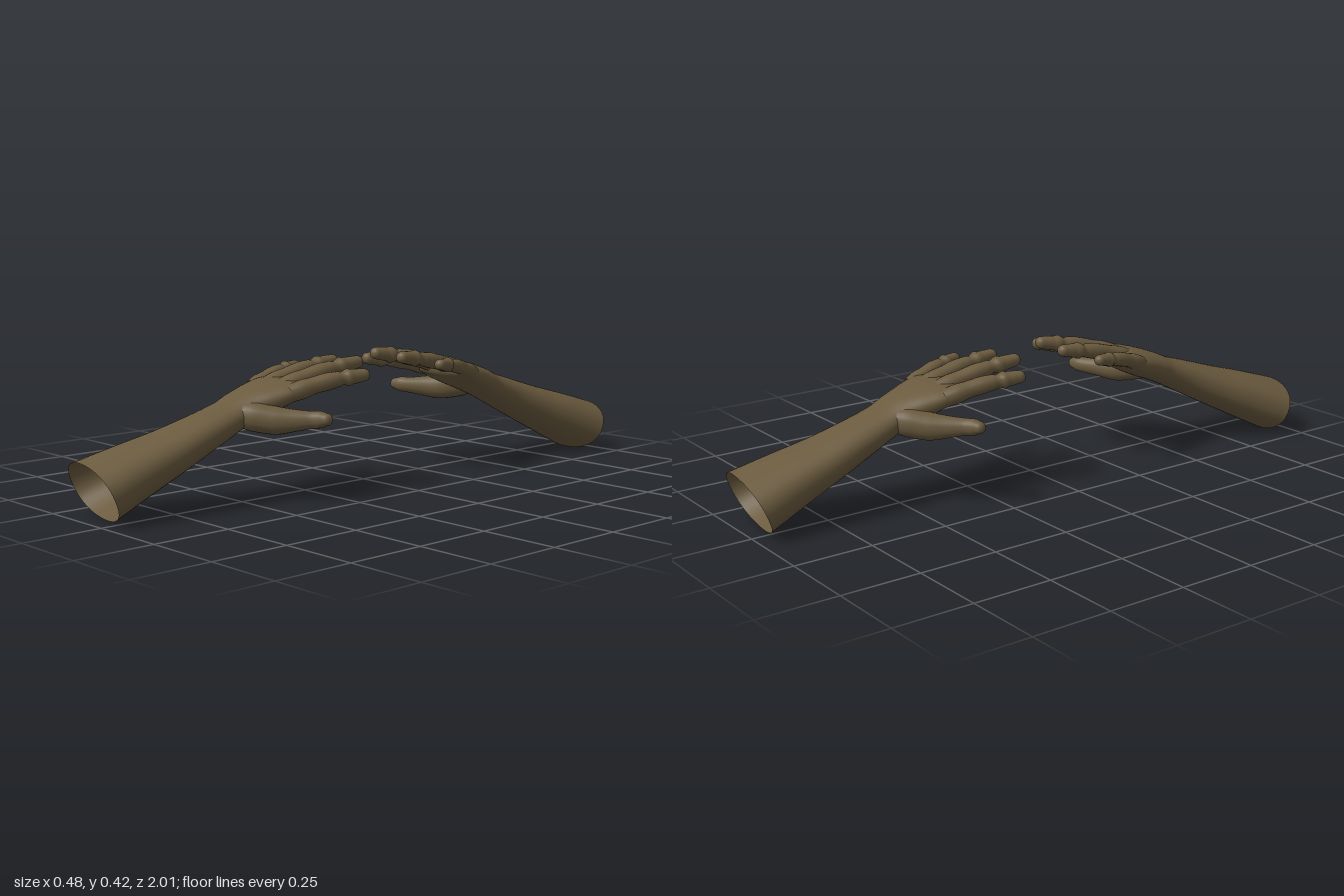
import * as THREE from 'three';

const skin = new THREE.MeshStandardMaterial({ color: 0x6b5b3f, side: THREE.DoubleSide });
skin.name = 'brown skin';

const UP = new THREE.Vector3(0, 1, 0);

// Lofts smooth rounded rings through rows of [x, y, z, halfWidth, halfHeight]
// and closes the far end with a dome; the near end stays open.
function loft(name, rows, steps, sides) {
  const path = new THREE.CatmullRomCurve3(rows.map(r => new THREE.Vector3(r[0], r[1], r[2])));
  const size = new THREE.CatmullRomCurve3(rows.map(r => new THREE.Vector3(r[3], r[4], 0)));
  const rings = [];
  for (let i = 0; i <= steps; i++) {
    const t = i / steps, s = size.getPoint(t);
    rings.push({ c: path.getPoint(t), d: path.getTangent(t), a: s.x, b: s.y });
  }
  const end = rings[steps];
  for (let k = 1; k <= 6; k++) {
    const q = k / 6 * Math.PI / 2, f = Math.max(Math.cos(q), 0.001);
    const c = end.c.clone().addScaledVector(end.d, Math.sin(q) * end.b);
    rings.push({ c, d: end.d, a: end.a * f, b: end.b * f });
  }
  const pos = [], index = [];
  const soft = v => Math.sign(v) * Math.pow(Math.abs(v), 0.9);
  rings.forEach(({ c, d, a, b }, i) => {
    const right = new THREE.Vector3().crossVectors(d, UP).normalize();
    const up = new THREE.Vector3().crossVectors(right, d);
    for (let j = 0; j < sides; j++) {
      const q = j / sides * Math.PI * 2;
      const p = c.clone().addScaledVector(right, a * soft(Math.cos(q)))
        .addScaledVector(up, b * soft(Math.sin(q)));
      pos.push(p.x, p.y, p.z);
      if (i === rings.length - 1) continue;
      const k = (j + 1) % sides, A = i * sides + j, B = i * sides + k;
      index.push(A, A + sides, B, B, A + sides, B + sides);
    }
  });
  const g = new THREE.BufferGeometry();
  g.setAttribute('position', new THREE.Float32BufferAttribute(pos, 3));
  g.setIndex(index);
  g.computeVertexNormals();
  const mesh = new THREE.Mesh(g, skin);
  mesh.name = name;
  return mesh;
}

// A finger from knuckle to tip, gently arched and swollen at the joints
function finger(name, base, tip, r) {
  const widths = [0.95, 1.05, 0.93, 0.96, 0.84, 0.84, 0.72];
  const rows = widths.map((w, i) => {
    const t = i / (widths.length - 1);
    const p = base.map((v, k) => v + (tip[k] - v) * t);
    p[1] += 0.008 * Math.sin(Math.PI * t);
    return [...p, r * w, r * w * 0.92];
  });
  return loft(name, rows, 24, 18);
}

function arm(name) {
  const g = new THREE.Group();
  g.name = name;
  // Forearm, wrist and palm in one skin, open at the elbow
  g.add(loft('forearmAndPalm', [
    [-0.09, 0.092, 0.965, 0.152, 0.09],
    [-0.07, 0.138, 0.85, 0.127, 0.079],
    [-0.05, 0.181, 0.74, 0.107, 0.067],
    [-0.033, 0.231, 0.62, 0.088, 0.055],
    [-0.028, 0.267, 0.53, 0.081, 0.047],
    [-0.025, 0.293, 0.47, 0.09, 0.047],
    [-0.018, 0.315, 0.41, 0.11, 0.045],
    [-0.012, 0.332, 0.36, 0.122, 0.039],
    [-0.009, 0.342, 0.325, 0.116, 0.028],
  ], 48, 40));
  // Thumb growing out of the fleshy heel of the palm
  g.add(loft('thumb', [
    [-0.01, 0.28, 0.535, 0.025, 0.025],
    [0.045, 0.27, 0.485, 0.044, 0.044],
    [0.092, 0.26, 0.443, 0.042, 0.042],
    [0.137, 0.261, 0.405, 0.032, 0.033],
    [0.177, 0.264, 0.372, 0.025, 0.026],
    [0.2, 0.266, 0.36, 0.024, 0.025],
    [0.217, 0.267, 0.354, 0.02, 0.019],
  ], 30, 22));
  g.add(finger('littleFinger', [-0.107, 0.332, 0.37], [-0.137, 0.379, 0.172], 0.026));
  g.add(finger('ringFinger', [-0.046, 0.341, 0.37], [-0.033, 0.399, 0.107], 0.029));
  g.add(finger('middleFinger', [0.022, 0.341, 0.37], [0.078, 0.404, 0.103], 0.03));
  g.add(finger('indexFinger', [0.08, 0.331, 0.38], [0.162, 0.376, 0.153], 0.03));
  return g;
}

export function createModel() {
  const model = new THREE.Group();
  model.name = 'reachingArms';
  model.add(arm('frontArm'));
  // The second arm faces the first, turned slightly inward
  const back = arm('backArm');
  back.rotation.y = Math.PI + 0.06;
  back.position.x = 0.039;
  model.add(back);
  return model;
}
